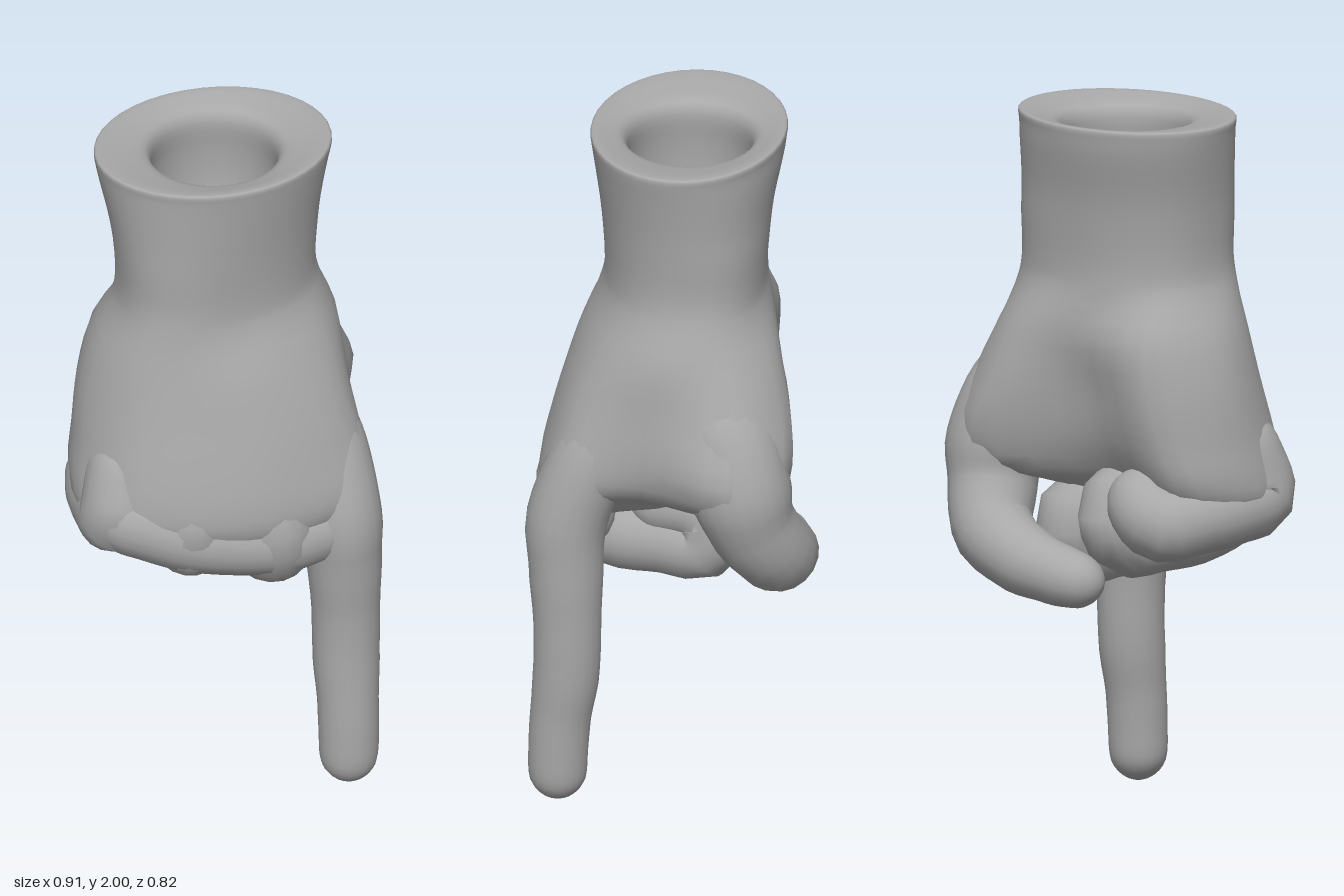
import * as THREE from 'three';

const skin = new THREE.MeshStandardMaterial({ color: 0xa8a8a8 });
skin.name = 'plain grey';

// Skin a list of closed rings (arrays of Vector3) into one smooth surface
function loft(name, rings) {
  const n = rings[0].length, index = [];
  for (let i = 0; i < rings.length - 1; i++) {
    for (let j = 0; j < n; j++) {
      const a = i * n + j, b = i * n + (j + 1) % n;
      index.push(a, a + n, b, b, a + n, b + n);
    }
  }
  const geo = new THREE.BufferGeometry().setFromPoints(rings.flat());
  geo.setIndex(index);
  geo.computeVertexNormals();
  const mesh = new THREE.Mesh(geo, skin);
  mesh.name = name;
  return mesh;
}

// Fleshy limb along a smooth path of [x, y, z, radius], with domed ends
function limb(name, path, sides = 20, steps = 44) {
  const curve = new THREE.CatmullRomCurve3(path.map(p => new THREE.Vector3(p[0], p[1], p[2])));
  const length = curve.getLength(), last = path.length - 1;
  const normal = new THREE.Vector3(1, 0.02, 0.01), rings = [];
  const dome = (d, r) => d >= r ? 1 : Math.sqrt(Math.max(0, 1 - ((r - d) / r) ** 2));
  for (let i = 0; i <= steps; i++) {
    const u = 0.5 - 0.5 * Math.cos(Math.PI * i / steps);
    const k = curve.getUtoTmapping(u) * last, k0 = Math.min(Math.floor(k), last - 1);
    const w = THREE.MathUtils.smoothstep(k - k0, 0, 1);
    const r = THREE.MathUtils.lerp(path[k0][3], path[k0 + 1][3], w)
      * dome(u * length, path[0][3]) * dome((1 - u) * length, path[last][3]);
    const centre = curve.getPointAt(u), tangent = curve.getTangentAt(u);
    normal.addScaledVector(tangent, -normal.dot(tangent)).normalize();
    const side = new THREE.Vector3().crossVectors(tangent, normal);
    const ring = [];
    for (let j = 0; j < sides; j++) {
      const a = j / sides * Math.PI * 2;
      ring.push(centre.clone().addScaledVector(normal, r * Math.cos(a)).addScaledVector(side, -r * Math.sin(a)));
    }
    rings.push(ring);
  }
  return loft(name, rings);
}

const SIDES = 40;

// Horizontal oval: [y, centre x, centre z, radius x, radius z, squareness, skew of z along x]
function oval([y, cx, cz, rx, rz, power = 2, skew = 0]) {
  const bend = v => Math.sign(v) * Math.abs(v) ** (2 / power);
  return Array.from({ length: SIDES }, (_, j) => {
    const a = j / SIDES * Math.PI * 2, x = rx * bend(Math.cos(a));
    return new THREE.Vector3(cx + x, y, cz + rz * bend(Math.sin(a)) + skew * x);
  });
}

// Horizontal outline through ten [x, z] points, from the thumb side round by the front
function outline(y, points) {
  const curve = new THREE.CatmullRomCurve3(points.map(([x, z]) => new THREE.Vector3(x, y, z)), true);
  return Array.from({ length: SIDES }, (_, j) => curve.getPoint(j / SIDES));
}

// Add in-between rings along smooth curves
function refine(rings, times) {
  const steps = (rings.length - 1) * times;
  const columns = rings[0].map((_, j) => new THREE.CatmullRomCurve3(rings.map(r => r[j])));
  return Array.from({ length: steps + 1 }, (_, i) => columns.map(c => c.getPoint(i / steps)));
}

export function createModel() {
  const hand = new THREE.Group();
  hand.name = 'pointingHand';

  // Palm with thumb pad, heel and hollow between them
  const palm = [
    oval([0.85, -0.04, 0.18, 0, 0]),
    outline(0.87, [[0.2, 0.15], [0.27, 0.29], [0.08, 0.36], [-0.15, 0.32], [-0.32, 0.22],
      [-0.37, 0.12], [-0.3, 0], [-0.05, -0.04], [0.09, -0.04], [0.16, 0.05]]),
    outline(0.93, [[0.25, 0.1], [0.31, 0.32], [0.08, 0.39], [-0.15, 0.36], [-0.365, 0.25],
      [-0.44, 0.1], [-0.35, -0.1], [-0.05, -0.09], [0.12, -0.12], [0.23, -0.03]]),
    outline(1.0, [[0.34, 0.06], [0.345, 0.31], [0.09, 0.39], [-0.15, 0.362], [-0.365, 0.25],
      [-0.445, 0.07], [-0.355, -0.15], [-0.05, -0.14], [0.25, -0.32], [0.42, -0.22]]),
    outline(1.1, [[0.365, 0.05], [0.33, 0.285], [0.09, 0.37], [-0.14, 0.345], [-0.35, 0.235],
      [-0.43, 0.03], [-0.33, -0.18], [-0.05, -0.19], [0.26, -0.355], [0.45, -0.2]]),
    outline(1.25, [[0.355, 0.04], [0.29, 0.25], [0.08, 0.33], [-0.14, 0.305], [-0.33, 0.2],
      [-0.41, 0], [-0.3, -0.205], [-0.05, -0.22], [0.2, -0.335], [0.38, -0.21]]),
    outline(1.4, [[0.345, 0], [0.26, 0.19], [0.06, 0.28], [-0.14, 0.265], [-0.31, 0.17],
      [-0.37, 0], [-0.28, -0.195], [-0.04, -0.25], [0.17, -0.29], [0.31, -0.19]]),
  ];

  // Wrist, rolled rim and round-bottomed socket
  const wrist = [
    [1.53, -0.005, -0.002, 0.303, 0.235, 2.3, -0.13],
    [1.60, -0.005, -0.003, 0.292, 0.231, 2.3, -0.13],
    [1.70, -0.005, -0.004, 0.297, 0.237, 2.25, -0.12],
    [1.80, -0.007, -0.005, 0.307, 0.247, 2.15, -0.08],
    [1.92, -0.01, -0.01, 0.327, 0.265, 2.05, -0.02],
    [1.97, -0.01, -0.01, 0.336, 0.271],
    [1.995, -0.01, -0.01, 0.338, 0.273],
    [2.00, -0.01, -0.01, 0.33, 0.266],
    [1.99, -0.008, -0.012, 0.25, 0.225],
    [1.975, -0.005, -0.013, 0.195, 0.19],
    [1.94, -0.005, -0.013, 0.178, 0.175],
    [1.85, -0.005, -0.013, 0.185, 0.182],
    [1.72, -0.005, -0.013, 0.182, 0.178],
    [1.64, -0.005, -0.013, 0.15, 0.148],
    [1.59, -0.005, -0.013, 0.09, 0.09],
    [1.575, -0.005, -0.013, 0, 0],
  ].map(oval);
  hand.add(loft('palmAndWrist', refine([...palm, ...wrist], 3)));

  // Flesh filling the gaps between the knuckles
  hand.add(limb('knuckleRidge', [
    [-0.42, 0.95, 0.13, 0.09], [-0.3, 0.93, 0.195, 0.115], [-0.15, 0.885, 0.25, 0.117],
    [0.08, 0.855, 0.285, 0.117], [0.2, 0.86, 0.275, 0.112], [0.33, 0.9, 0.27, 0.07]]));

  // Straight index finger pointing down
  hand.add(limb('indexFinger', [
    [0.2, 1.26, 0.12, 0.1], [0.25, 1.06, 0.22, 0.115], [0.27, 0.87, 0.285, 0.115],
    [0.278, 0.74, 0.285, 0.106], [0.285, 0.55, 0.28, 0.096], [0.285, 0.4, 0.283, 0.094],
    [0.285, 0.25, 0.3, 0.086], [0.285, 0.12, 0.307, 0.084], [0.283, 0, 0.307, 0.075]]));

  // Three fingers folded back, their tips tucked against the palm
  hand.add(limb('middleFinger', [
    [0.05, 1.15, 0.19, 0.1], [0.065, 1.0, 0.262, 0.112], [0.075, 0.85, 0.29, 0.117],
    [0.085, 0.768, 0.19, 0.114], [0.095, 0.757, 0.04, 0.11], [0.105, 0.755, -0.075, 0.11],
    [0.105, 0.845, -0.1, 0.11], [0.1, 0.87, -0.01, 0.1], [0.09, 0.85, 0.14, 0.09]]));
  hand.add(limb('ringFinger', [
    [-0.13, 1.15, 0.17, 0.1], [-0.15, 1.0, 0.23, 0.115], [-0.155, 0.88, 0.25, 0.115],
    [-0.14, 0.825, 0.15, 0.114], [-0.12, 0.81, 0.0, 0.11], [-0.1, 0.81, -0.105, 0.11],
    [-0.09, 0.9, -0.13, 0.105], [-0.08, 0.93, -0.04, 0.1], [-0.08, 0.91, 0.1, 0.09]]));
  hand.add(limb('littleFinger', [
    [-0.28, 1.15, 0.1, 0.1], [-0.325, 1.04, 0.145, 0.108], [-0.345, 0.93, 0.165, 0.113],
    [-0.345, 0.905, 0.08, 0.105], [-0.325, 0.89, -0.04, 0.105], [-0.28, 0.88, -0.135, 0.108],
    [-0.22, 0.92, -0.14, 0.105], [-0.16, 0.99, -0.07, 0.09]]));

  // Thumb sweeping back and across the folded fingers
  hand.add(limb('thumb', [
    [0.22, 1.32, -0.08, 0.12], [0.28, 1.16, -0.18, 0.14], [0.305, 1.03, -0.215, 0.145],
    [0.29, 0.92, -0.245, 0.126], [0.235, 0.815, -0.295, 0.116],
    [0.12, 0.75, -0.3, 0.102], [0.0, 0.715, -0.275, 0.088], [-0.14, 0.69, -0.23, 0.07]]));

  return hand;
}
